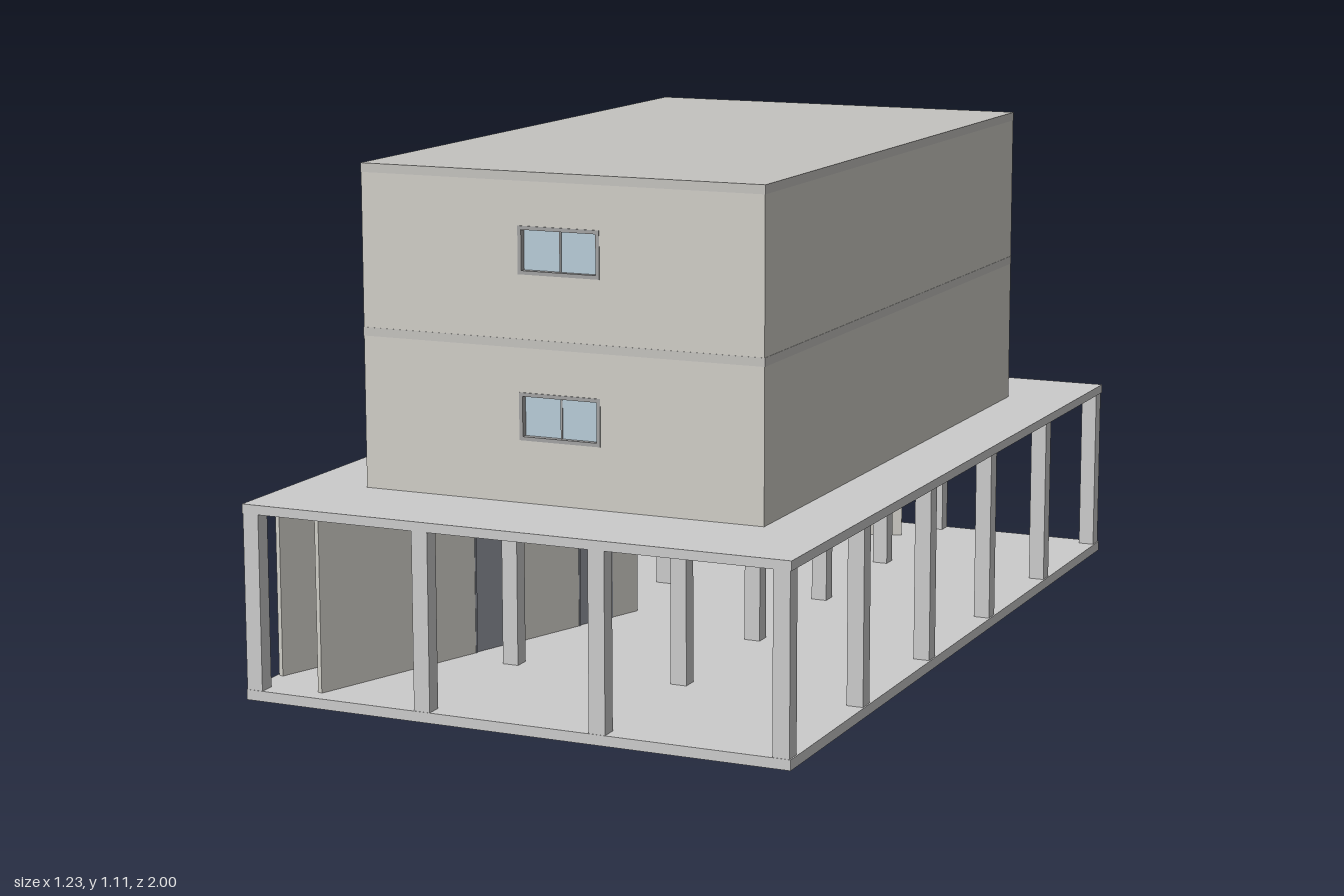
import * as THREE from 'three';

const mat = (color, extra = {}) => new THREE.MeshStandardMaterial({ color, ...extra });

export function createModel() {
  const model = new THREE.Group();
  const concrete = mat(0xcccccc);
  const plaster = mat(0xd0cec7);
  const band = mat(0xc4c3bf);
  const frameMat = mat(0xa3a3a3);
  const glass = mat(0xb9cdd9);
  const doorMat = mat(0x8c8f99);

  // Box given by its limits on each axis
  function box(name, material, x0, x1, y0, y1, z0, z1, parent = model) {
    const mesh = new THREE.Mesh(new THREE.BoxGeometry(x1 - x0, y1 - y0, z1 - z0), material);
    mesh.position.set((x0 + x1) / 2, (y0 + y1) / 2, (z0 + z1) / 2);
    mesh.name = name;
    parent.add(mesh);
    return mesh;
  }

  // Ground slab and terrace slab
  box('groundSlab', concrete, -0.613, 0.613, 0, 0.022, -1, 1);
  box('terraceSlab', concrete, -0.613, 0.613, 0.398, 0.418, -1, 1);

  // Grid of square columns carrying the terrace
  const columns = new THREE.Group();
  columns.name = 'columns';
  model.add(columns);
  for (const x of [-0.594, -0.199, 0.196, 0.592]) {
    for (let j = 0; j < 6; j++) {
      const z = -0.981 + j * 0.3924;
      box('column', concrete, x - 0.018, x + 0.018, 0.022, 0.398, z - 0.018, z + 0.018, columns);
    }
  }

  // Thin ground-floor wall between two plan points, with doors at distances along it
  function wall(name, [x0, z0], [x1, z1], doors = []) {
    const length = Math.hypot(x1 - x0, z1 - z0);
    const group = new THREE.Group();
    group.name = name;
    group.position.set(x0, 0, z0);
    group.rotation.y = -Math.atan2(z1 - z0, x1 - x0);
    model.add(group);
    let start = 0;
    for (const d of doors) {
      box('wallPanel', plaster, start, d, 0.022, 0.398, -0.006, 0.006, group);
      box('doorHeader', plaster, d, d + 0.106, 0.285, 0.398, -0.006, 0.006, group);
      box('door', doorMat, d + 0.005, d + 0.101, 0.022, 0.28, -0.003, 0.003, group);
      box('doorHandle', frameMat, d + 0.088, d + 0.094, 0.14, 0.155, -0.009, 0.009, group);
      for (const e of [d, d + 0.101]) {
        box('doorJamb', doorMat, e, e + 0.005, 0.022, 0.285, -0.007, 0.007, group);
      }
      box('doorLintel', doorMat, d + 0.005, d + 0.101, 0.28, 0.285, -0.007, 0.007, group);
      start = d + 0.106;
    }
    box('wallPanel', plaster, start, length, 0.022, 0.398, -0.006, 0.006, group);
  }

  // Slanted walls of the ground floor
  wall('innerWall', [-0.461, 0.96], [-0.15, 0.08], [0.434, 0.747]);
  wall('outerFrontWall', [-0.603, 0.88], [-0.32, 0.08]);
  wall('outerBackWall', [-0.592, 0.08], [-0.24, -0.945]);
  wall('rearCrossWall', [-0.33, -0.7], [0.14, -0.87]);

  // Upper block: body behind a front wall pierced by two windows
  const [left, right, back, front] = [-0.456, 0.453, -0.757, 0.757];
  const faceZ = front - 0.016;
  box('upperBody', plaster, left, right, 0.418, 1.105, back, faceZ);
  const facade = new THREE.Shape([
    [left, 0.418], [right, 0.418], [right, 1.105], [left, 1.105],
  ].map(p => new THREE.Vector2(...p)));
  const windows = [0.55, 0.895];
  const [wx0, wx1, wh] = [-0.093, 0.091, 0.1];
  for (const y of windows) {
    facade.holes.push(new THREE.Path([
      [wx0, y], [wx0, y + wh], [wx1, y + wh], [wx1, y],
    ].map(p => new THREE.Vector2(...p))));
  }
  const facadeMesh = new THREE.Mesh(
    new THREE.ExtrudeGeometry(facade, { depth: 0.016, bevelEnabled: false }), plaster);
  facadeMesh.position.z = faceZ;
  facadeMesh.name = 'frontWall';
  model.add(facadeMesh);

  // Sliding windows: frame, two panes and a middle bar
  for (const y of windows) {
    const win = new THREE.Group();
    win.name = 'window';
    model.add(win);
    const t = 0.008;
    const z1 = front + 0.002;
    box('frameLeft', frameMat, wx0, wx0 + t, y, y + wh, faceZ, z1, win);
    box('frameRight', frameMat, wx1 - t, wx1, y, y + wh, faceZ, z1, win);
    box('frameBottom', frameMat, wx0 + t, wx1 - t, y, y + t, faceZ, z1, win);
    box('frameTop', frameMat, wx0 + t, wx1 - t, y + wh - t, y + wh, faceZ, z1, win);
    box('leftPane', glass, wx0 + t, -0.001, y + t, y + wh - t, faceZ, faceZ + 0.004, win);
    box('rightPane', glass, -0.001, wx1 - t, y + t, y + wh - t, faceZ, faceZ + 0.006, win);
    box('middleBar', frameMat, -0.003, 0.001, y + t, y + wh - t, faceZ, faceZ + 0.008, win);
  }

  // Floor edge band and roof slab, just proud of the walls
  const e = 0.0008;
  box('floorBand', band, left - e, right + e, 0.743, 0.761, back - e, front + e);
  box('roofSlab', band, left - e, right + e, 1.087, 1.106, back - e, front + e);

  return model;
}
